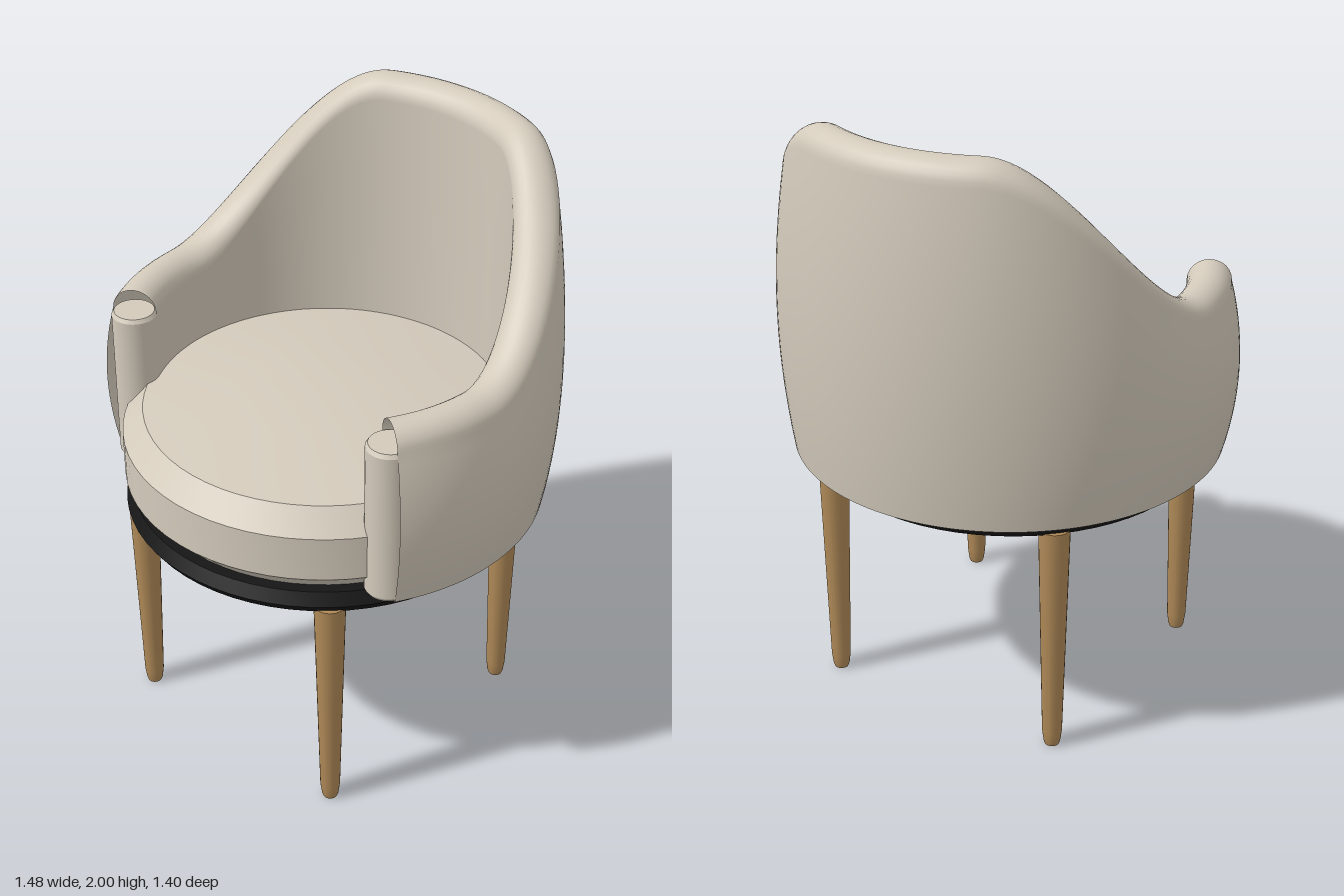
import * as THREE from 'three';
import { toCreasedNormals } from 'three/addons/utils/BufferGeometryUtils.js';

const mat = (name, color, extra = {}) => {
  const m = new THREE.MeshStandardMaterial({ color, ...extra });
  m.name = name;
  return m;
};

// Turned part from [radius, y] points, with sharp edges kept
function lathe(points, segments) {
  const g = new THREE.LatheGeometry(points.map(([r, y]) => new THREE.Vector2(r, y)), segments);
  return toCreasedNormals(g, 0.4);
}

const BOTTOM = 0.85, CENTRE_Z = 0.04, INNER = 0.56, OUTER = 0.703, RIM = 0.07;
const END = THREE.MathUtils.degToRad(120);

// Height of the rim's crest at an angle from the middle of the back
function crest(angle) {
  const deg = Math.abs(THREE.MathUtils.radToDeg(angle));
  return 1.455 + 0.545 * (1 - THREE.MathUtils.smoothstep(deg, 25, 93));
}

// Cross-section: up the inner wall, over the round rim, down the bulging outer wall
function section(angle) {
  const side = crest(angle) - RIM, mid = (INNER + OUTER) / 2, half = (OUTER - INNER) / 2;
  const pts = [];
  for (let i = 0; i < 4; i++) pts.push([INNER, BOTTOM + (side - BOTTOM) * i / 4]);
  for (let i = 0; i <= 12; i++) {
    const a = Math.PI * i / 12;
    pts.push([mid - half * Math.cos(a), side + RIM * Math.sin(a)]);
  }
  for (let i = 1; i <= 14; i++) {
    const t = 1 - i / 14;
    pts.push([OUTER + 0.037 * 4 * t * (1 - t), BOTTOM + (side - BOTTOM) * t]);
  }
  return pts;
}

// Sweep a cross-section around the back, from arm to arm
function sweep(sectionAt, steps = 96) {
  const pos = [], idx = [];
  let n = 0;
  for (let i = 0; i <= steps; i++) {
    const a = -END + 2 * END * i / steps;
    const pts = sectionAt(a);
    n = pts.length;
    for (const [r, y] of pts) pos.push(r * Math.sin(a), y, CENTRE_Z - r * Math.cos(a));
  }
  for (let i = 0; i < steps; i++) {
    for (let j = 0; j < n - 1; j++) {
      const a = i * n + j, b = a + n;
      idx.push(a, b, b + 1, a, b + 1, a + 1);
    }
  }
  const g = new THREE.BufferGeometry();
  g.setAttribute('position', new THREE.Float32BufferAttribute(pos, 3));
  g.setIndex(idx);
  g.computeVertexNormals();
  return g;
}

export function createModel() {
  const model = new THREE.Group();
  model.name = 'tubChair';
  const fabric = mat('cream fabric', 0xd3cabb);
  const shellFabric = fabric;
  shellFabric.side = THREE.DoubleSide;
  const black = mat('black base', 0x161616);
  const wood = mat('light wood', 0xb08a58);

  const add = (name, geometry, material, x = 0, y = 0, z = 0) => {
    const mesh = new THREE.Mesh(geometry, material);
    mesh.name = name;
    mesh.position.set(x, y, z);
    model.add(mesh);
    return mesh;
  };

  // Wrap-around back and arms, with the ends left hollow behind the posts
  add('backShell', sweep(section), shellFabric);
  add('shellUnderside', sweep(() => [[OUTER, BOTTOM], [INNER, BOTTOM]]), shellFabric);

  // Round seat cushion and base plate
  add('seatCushion', lathe([
    [0, 0.855], [0.585, 0.855], [0.645, 0.92], [0.645, 1.07], [0.578, 1.145], [0.295, 1.18], [0, 1.19],
  ], 64), fabric, 0, 0, 0.055);
  add('seatBase', lathe([
    [0, 0.785], [0.625, 0.785], [0.645, 0.815], [0.622, 0.856], [0, 0.856],
  ], 64), black, 0, 0, 0.055);

  // Upright posts closing the arm ends
  const post = lathe([
    [0, 0.852], [0.065, 0.852], [0.073, 0.865], [0.073, 1.372], [0.065, 1.385], [0, 1.385],
  ], 32);
  const postR = 0.633;
  for (const [side, s] of [['left', 1], ['right', -1]]) {
    add(side + 'ArmPost', post, fabric, s * postR * Math.sin(END), 0, CENTRE_Z - postR * Math.cos(END));
  }

  // Tapered legs
  const leg = lathe([
    [0, 0], [0.023, 0], [0.027, 0.012], [0.032, 0.05], [0.05, 0.79], [0, 0.79],
  ], 24);
  for (const [end, z] of [['front', 0.475], ['back', -0.365]]) {
    for (const [side, s] of [['Left', 1], ['Right', -1]]) add(end + side + 'Leg', leg, wood, s * 0.42, 0, z);
  }
  return model;
}
